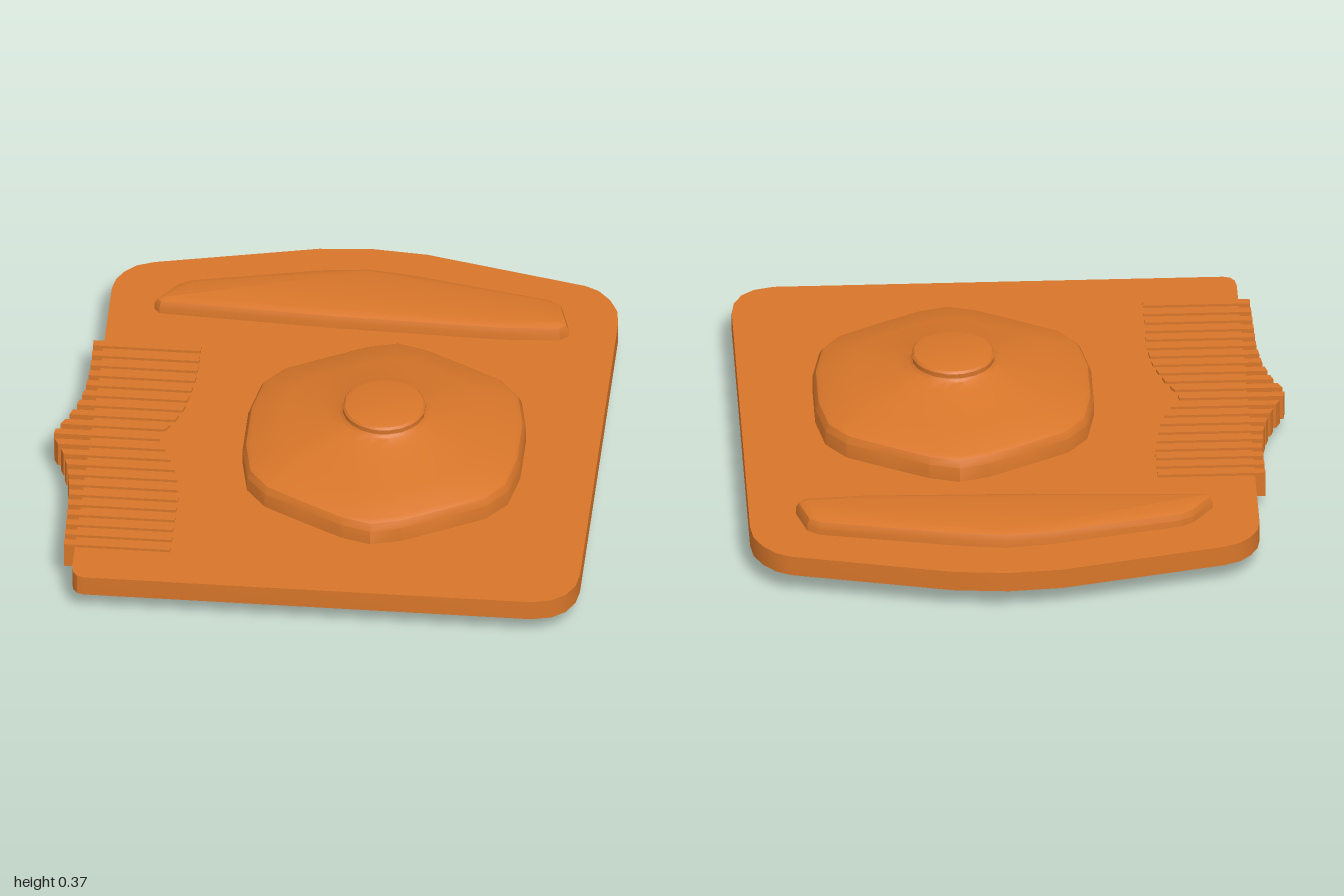
import * as THREE from 'three';
import { toCreasedNormals, mergeVertices } from 'three/addons/utils/BufferGeometryUtils.js';

const material = new THREE.MeshStandardMaterial({ color: 0xd8762a });

function addMesh(group, name, geometry, crease = 0.5) {
  const mesh = new THREE.Mesh(toCreasedNormals(geometry, crease), material);
  mesh.name = name;
  group.add(mesh);
}

// Horizontal slab from an outline of [x, z] points, between two heights
function slab(outline, y0, y1, bevel = 0) {
  const shape = new THREE.Shape(outline.map(([x, z]) => new THREE.Vector2(x, -z)));
  const geometry = new THREE.ExtrudeGeometry(shape, {
    depth: y1 - y0 - 2 * bevel, bevelEnabled: bevel > 0,
    bevelSize: bevel, bevelThickness: bevel, bevelOffset: -bevel, bevelSegments: 2,
  });
  return geometry.rotateX(-Math.PI / 2).translate(0, y0 + bevel, 0);
}

// Loft of closed rings; each ring is [y, outline scale, added circle radius]
function loft(outline, rings) {
  const positions = [], index = [], n = outline.length;
  for (const [y, s, r] of rings) {
    for (const [x, z] of outline) {
      const d = Math.hypot(x, z);
      positions.push(x * s + (x / d) * r, y, z * s + (z / d) * r);
    }
  }
  for (let k = 0; k < rings.length - 1; k++) {
    for (let i = 0; i < n; i++) {
      const a = k * n + i, b = k * n + (i + 1) % n, c = b + n, d = a + n;
      if (k > 0) index.push(a, b, c);
      if (k < rings.length - 2) index.push(a, c, d);
      if (k === 0) index.push(a, c, d);
    }
  }
  const geometry = new THREE.BufferGeometry();
  geometry.setAttribute('position', new THREE.Float32BufferAttribute(positions, 3));
  geometry.setIndex(index);
  return mergeVertices(geometry);
}

// Piecewise linear lookup in [position, value] pairs
function sample(table, t) {
  let i = 0;
  while (i < table.length - 2 && t > table[i + 1][0]) i++;
  const [t0, v0] = table[i], [t1, v1] = table[i + 1];
  return THREE.MathUtils.lerp(v0, v1, THREE.MathUtils.clamp((t - t0) / (t1 - t0), 0, 1));
}

export function createModel() {
  const group = new THREE.Group();
  group.name = 'model';

  // Flat plate with a shallow peaked back edge and rounded corners
  addMesh(group, 'plate', slab([
    [-0.835, -0.69], [-0.825, -0.745], [-0.80, -0.79], [-0.76, -0.83], [-0.70, -0.855],
    [-0.13, -0.985], [0.06, -1], [0.25, -0.985],
    [0.82, -0.855], [0.87, -0.83], [0.915, -0.78], [0.945, -0.72], [0.955, -0.65],
    [0.955, 0.82], [0.945, 0.885], [0.915, 0.94], [0.87, 0.975], [0.80, 0.993],
    [-0.78, 0.993], [-0.805, 0.985], [-0.82, 0.965], [-0.826, 0.93],
  ], 0.08, 0.155));

  // Long bar at the back, passing through the plate
  addMesh(group, 'backBar', slab([
    [-0.675, -0.585], [-0.655, -0.56], [-0.04, -0.53], [0.55, -0.517], [0.76, -0.53],
    [0.79, -0.56], [0.755, -0.68], [0.71, -0.71], [0.21, -0.81], [0.06, -0.828],
    [-0.10, -0.81], [-0.56, -0.708], [-0.605, -0.68],
  ], 0.03, 0.21, 0.03));

  // Softened hexagonal outline, mirrored from one quadrant
  const quadrant = [[0, 0.54], [0.105, 0.51], [0.25, 0.433], [0.39, 0.355], [0.46, 0.265], [0.49, 0.11]];
  const half = [...quadrant, ...quadrant.slice(1).reverse().map(([x, z]) => [x, -z])];
  const hexagon = [...half, ...half.map(([x, z]) => [-x, -z])];

  // Domed body flowing into a round knob
  addMesh(group, 'domeAndKnob', loft(hexagon, [
    [0, 0, 0], [0, 0.955, 0], [0.02, 0.98, 0], [0.06, 1, 0], [0.21, 1, 0], [0.235, 0.975, 0],
    [0.245, 0.945, 0], [0.272, 0.6, 0.06], [0.302, 0.25, 0.12], [0.318, 0.1, 0.142],
    [0.332, 0, 0.155], [0.342, 0, 0.146], [0.36, 0, 0.147], [0.368, 0, 0.14],
    [0.372, 0, 0.125], [0.372, 0, 0],
  ]).translate(0.205, 0, 0.17));

  // Row of thin ridges whose ends follow a bowed strip
  const outer = [[-0.37, -0.87], [-0.2, -0.867], [-0.08, -0.875], [0, -0.892], [0.08, -0.92],
    [0.16, -0.96], [0.2, -0.96], [0.28, -0.92], [0.38, -0.892], [0.5, -0.876], [0.82, -0.866]];
  const inner = [[-0.2, -0.49], [-0.1, -0.502], [0, -0.518], [0.08, -0.548], [0.15, -0.59],
    [0.19, -0.585], [0.27, -0.545], [0.38, -0.508], [0.5, -0.49]];
  const ridges = new THREE.Group();
  ridges.name = 'sideRidges';
  const count = 21, width = 0.03;
  for (let i = 0; i < count; i++) {
    const z0 = -0.37 + i * (1.19 - width) / (count - 1), z1 = z0 + width;
    addMesh(ridges, 'ridge', slab([
      [sample(outer, z0), z0], [sample(outer, z1), z1], [sample(inner, z1), z1], [sample(inner, z0), z0],
    ], 0.07, 0.165));
  }
  group.add(ridges);
  return group;
}
